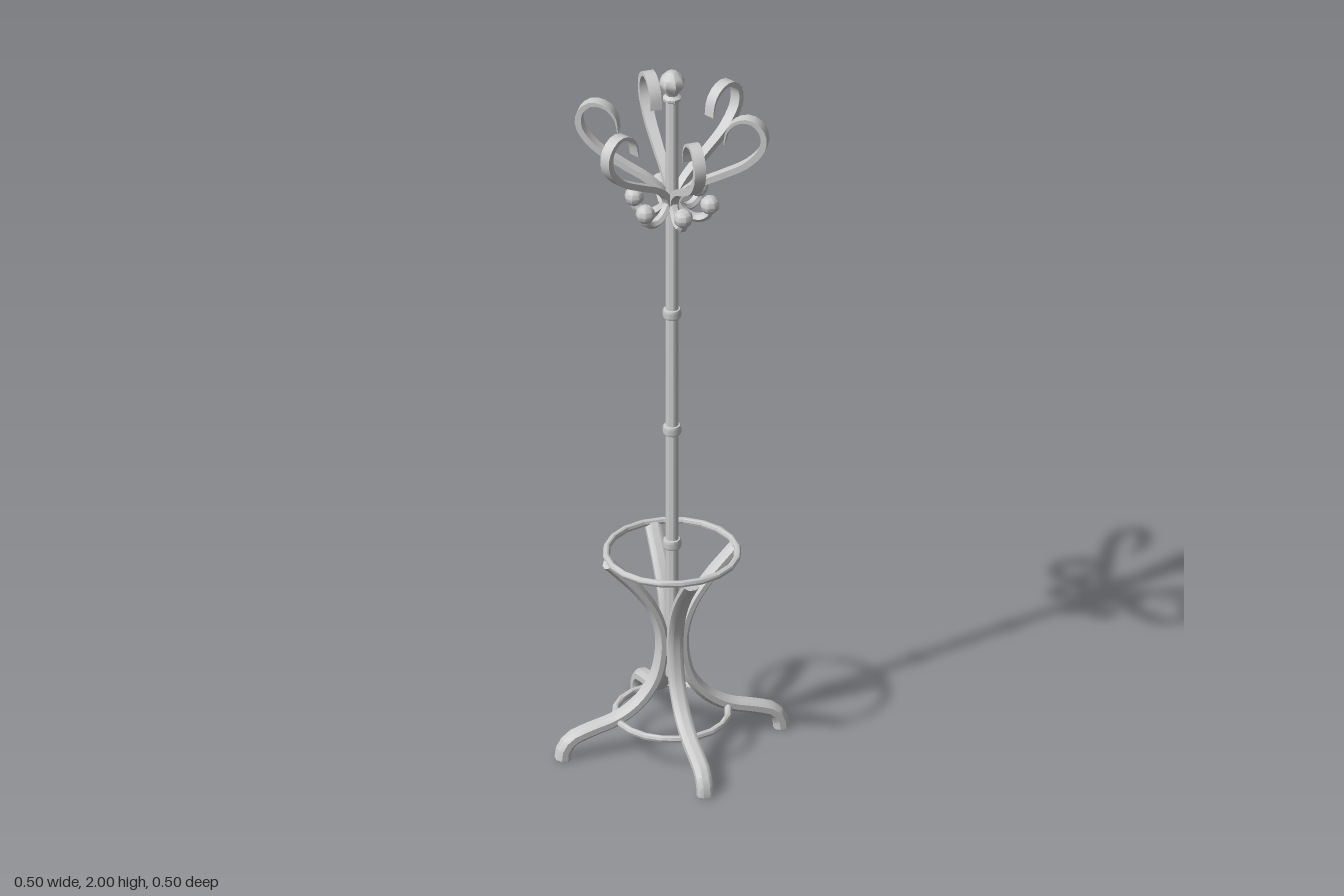
import * as THREE from 'three';
import { toCreasedNormals } from 'three/addons/utils/BufferGeometryUtils.js';

const material = new THREE.MeshStandardMaterial({ color: 0xcccccc });

function mesh(name, geometry, crease = 0.65) {
  const m = new THREE.Mesh(toCreasedNormals(geometry, crease), material);
  m.name = name;
  return m;
}

// Sweeps a section along a smooth path in the (radius, height) plane.
// size(t) gives [thickness in the plane, width across it].
function sweep(points, steps, sides, size) {
  const curve = new THREE.CatmullRomCurve3(points.map(([r, y]) => new THREE.Vector3(r, y, 0)));
  const pos = [], index = [];
  const turn = Math.PI / sides;
  const grow = 1 / Math.cos(turn);
  for (let i = 0; i <= steps; i++) {
    const t = i / steps;
    const p = curve.getPointAt(t), d = curve.getTangentAt(t);
    const [thick, wide] = size(t);
    for (let j = 0; j < sides; j++) {
      const a = (j / sides) * Math.PI * 2 + turn;
      const n = Math.cos(a) * grow * thick / 2;
      pos.push(p.x - d.y * n, p.y + d.x * n, Math.sin(a) * grow * wide / 2);
      if (i < steps) {
        const k = (j + 1) % sides, b = i * sides, c = b + sides;
        index.push(b + j, b + k, c + k, b + j, c + k, c + j);
      }
    }
  }
  // End caps
  const last = steps * sides;
  for (let j = 1; j < sides - 1; j++) {
    index.push(0, j + 1, j, last, last + j, last + j + 1);
  }
  const g = new THREE.BufferGeometry();
  g.setAttribute('position', new THREE.Float32BufferAttribute(pos, 3));
  g.setIndex(index);
  return g;
}

// Places copies of a part around the pole
function around(parent, name, count, startDegrees, build) {
  for (let i = 0; i < count; i++) {
    const part = build();
    part.name = name + (i + 1);
    part.rotation.y = THREE.MathUtils.degToRad(startDegrees + (360 / count) * i);
    parent.add(part);
  }
}

function lathe(profile, sides) {
  return new THREE.LatheGeometry(profile.map(([r, y]) => new THREE.Vector2(r, y)), sides);
}

export function createModel() {
  const stand = new THREE.Group();
  stand.name = 'coatStand';

  // Central pole
  const pole = mesh('pole', new THREE.CylinderGeometry(0.017, 0.017, 1.72, 10), 0.8);
  pole.position.y = 1.06;
  stand.add(pole);

  // Turned collars on the pole
  [0.593, 0.932, 1.278].forEach((y, i) => {
    const collar = mesh('collar' + (i + 1), lathe([
      [0.016, -0.014], [0.022, -0.013], [0.025, -0.006],
      [0.025, 0.006], [0.022, 0.013], [0.016, 0.014],
    ], 10), 0.8);
    collar.position.y = y;
    stand.add(collar);
  });

  // Finial
  stand.add(mesh('finial', lathe([
    [0.016, 1.9], [0.017, 1.908], [0.025, 1.914], [0.025, 1.921], [0.015, 1.928],
    [0.018, 1.935], [0.033, 1.956], [0.035, 1.967], [0.029, 1.98], [0.013, 1.996], [0, 2],
  ], 8)));

  // Bentwood legs
  const legPath = [
    [0.175, 0.56], [0.145, 0.528], [0.1, 0.477], [0.055, 0.41], [0.031, 0.34], [0.028, 0.28],
    [0.045, 0.2], [0.09, 0.135], [0.15, 0.095], [0.225, 0.072], [0.275, 0.052], [0.295, 0.022],
    [0.297, 0],
  ];
  const legGeometry = sweep(legPath, 32, 8, (t) => [0.03 + 0.01 * t * t, 0.042]);
  around(stand, 'leg', 4, 45, () => mesh('leg', legGeometry, 0.8));

  // Umbrella ring and lower brace ring
  for (const [name, radius, y] of [['umbrellaRing', 0.172, 0.565], ['braceRing', 0.148, 0.09]]) {
    const ring = mesh(name, new THREE.TorusGeometry(radius, 0.0095, 8, 20), 0.8);
    ring.rotation.x = Math.PI / 2;
    ring.position.y = y;
    stand.add(ring);
  }

  // Large curled coat hooks
  const hookPath = [
    [0.012, 1.6], [0.022, 1.632], [0.06, 1.668], [0.13, 1.706], [0.205, 1.752], [0.245, 1.805],
    [0.244, 1.85], [0.213, 1.879], [0.175, 1.873], [0.15, 1.845], [0.142, 1.805],
  ];
  const hookGeometry = sweep(hookPath, 30, 4, (t) => [
    t < 0.65 ? 0.017 : THREE.MathUtils.lerp(0.017, 0.003, (t - 0.65) / 0.35),
    0.021 + 0.01 * Math.min(1, t * 1.6),
  ]);
  around(stand, 'coatHook', 6, 15, () => mesh('coatHook', hookGeometry));

  // Small knobbed hooks below
  const armGeometry = sweep(
    [[0.01, 1.618], [0.026, 1.592], [0.052, 1.573], [0.08, 1.573], [0.1, 1.588], [0.103, 1.605]],
    12, 6, () => [0.02, 0.024]);
  around(stand, 'hatHook', 6, 15, () => {
    const hook = new THREE.Group();
    const knob = mesh('knob', new THREE.SphereGeometry(0.026, 8, 6), 0.8);
    knob.position.set(0.101, 1.613, 0);
    hook.add(mesh('hookArm', armGeometry, 0.8), knob);
    return hook;
  });

  return stand;
}
